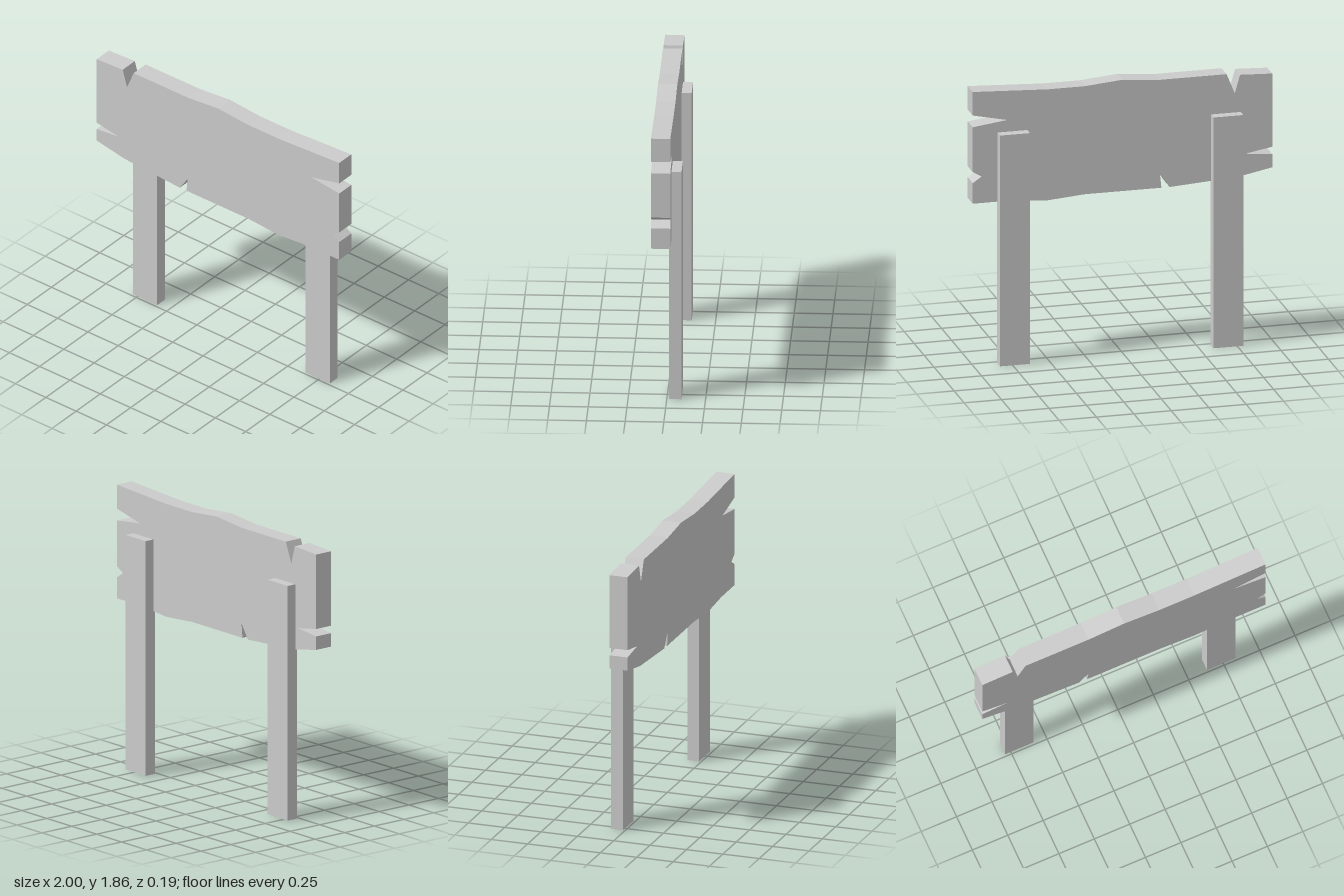
import * as THREE from 'three';

export function createModel() {
  const group = new THREE.Group();
  group.name = 'woodenSign';
  const material = new THREE.MeshStandardMaterial({ color: 0xcccccc, flatShading: true });

  // Weathered board: outline with split notches, anticlockwise from lower left
  const outline = [
    [-1, 1.175], [-0.77, 1.13], [-0.315, 1.1], [-0.25, 1.195], [-0.26, 1.1],
    [0.25, 1.1], [0.5, 1.08], [0.75, 1.1], [1, 1.1],
    [1, 1.24], [0.94, 1.28], [1, 1.315],
    [1, 1.62], [0.77, 1.65], [1, 1.7],
    [1, 1.86], [0.5, 1.835], [0.25, 1.835], [0, 1.857], [-0.25, 1.835], [-0.695, 1.835],
    [-0.75, 1.7], [-0.785, 1.823], [-1, 1.813],
    [-1, 1.315], [-0.82, 1.283], [-1, 1.265],
  ].map(([x, y]) => new THREE.Vector2(x, y));
  const boardGeometry = new THREE.ExtrudeGeometry(new THREE.Shape(outline), {
    depth: 0.125, bevelEnabled: false,
  });
  const board = new THREE.Mesh(boardGeometry, material);
  board.name = 'board';
  board.position.z = -0.03;
  group.add(board);

  // Two flat posts, set slightly into the back of the board
  const postHeight = 1.57;
  const postGeometry = new THREE.BoxGeometry(0.2, postHeight, 0.08);
  for (const [name, x] of [['rightPost', -0.69], ['leftPost', 0.735]]) {
    const post = new THREE.Mesh(postGeometry, material);
    post.name = name;
    post.position.set(x, postHeight / 2, -0.055);
    group.add(post);
  }

  return group;
}
